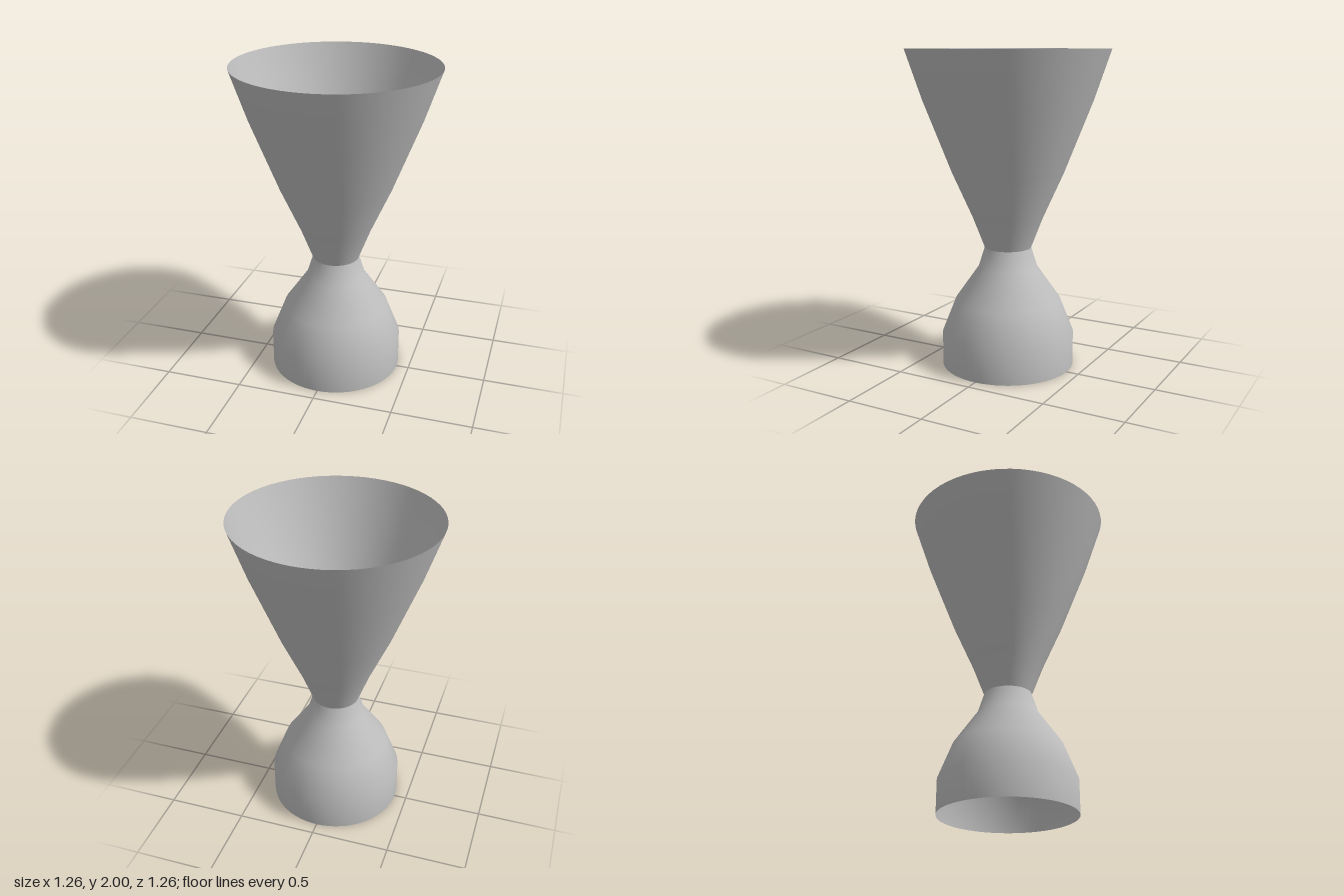
import * as THREE from 'three';

export function createModel() {
  const metal = new THREE.MeshStandardMaterial({ color: 0xbfbfbf, side: THREE.DoubleSide });
  metal.name = 'grey metal';
  const model = new THREE.Group();
  model.name = 'nozzle';

  // Open shell of revolution from [radius, height] pairs, bottom to top
  const addShell = (name, profile) => {
    const points = profile.map(([r, y]) => new THREE.Vector2(r, y));
    const mesh = new THREE.Mesh(new THREE.LatheGeometry(points, 64), metal);
    mesh.name = name;
    model.add(mesh);
  };

  // Chamber: straight wall, rounded shoulder, narrowing to the throat
  addShell('chamber', [[0.42, 0], [0.42, 0.21], [0.335, 0.425], [0.188, 0.635], [0.147, 0.762]]);

  // Bell: flares from the throat to the open rim
  addShell('bell', [[0.147, 0.762], [0.222, 0.957], [0.35, 1.243], [0.525, 1.69], [0.63, 2]]);

  return model;
}
